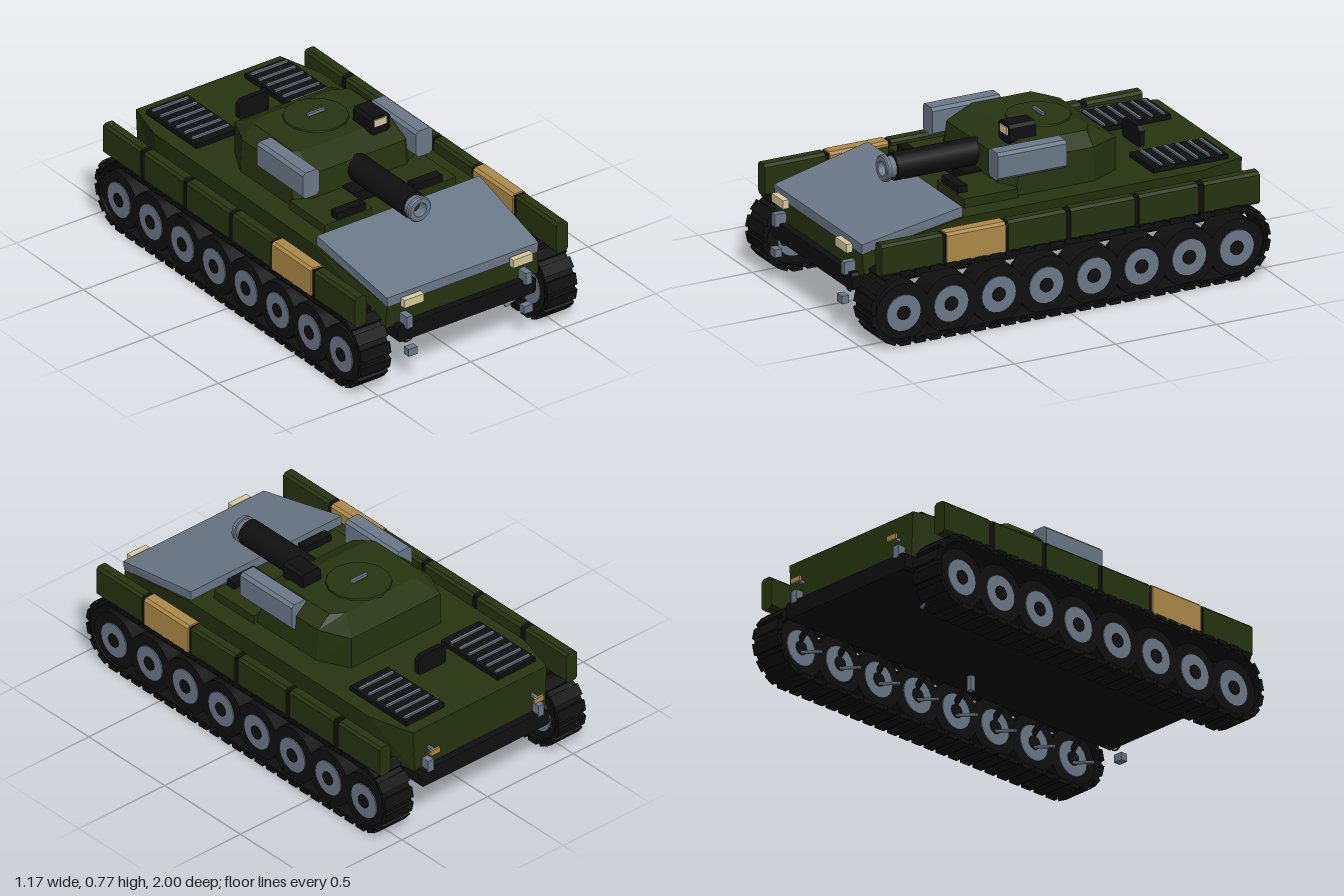
import * as THREE from 'three';

const mat = (name, color) => {
  const m = new THREE.MeshStandardMaterial({ color });
  m.name = name;
  return m;
};

export function createModel() {
  const green = mat('olive green', 0x26330f);
  const steel = mat('blue grey steel', 0x6b7888);
  const black = mat('rubber black', 0x0f0f0f);
  const cream = mat('lamp cream', 0xd6ca9a);
  const tan = mat('ochre tan', 0xad8a48);
  const tank = new THREE.Group();
  tank.name = 'tank';

  const add = (name, geo, material, x = 0, y = 0, z = 0, parent = tank) => {
    const m = new THREE.Mesh(geo, material);
    m.name = name;
    m.position.set(x, y, z);
    parent.add(m);
    return m;
  };
  // box given by its limits on each axis
  const box = (name, material, [x0, x1], [y0, y1], [z0, z1], parent = tank) =>
    add(name, new THREE.BoxGeometry(x1 - x0, y1 - y0, z1 - z0), material,
      (x0 + x1) / 2, (y0 + y1) / 2, (z0 + z1) / 2, parent);
  const pair = (name, material, [x0, x1], y, z) => {
    box(name + 'Left', material, [x0, x1], y, z);
    box(name + 'Right', material, [-x1, -x0], y, z);
  };
  // box with chamfered long edges along z
  const chamfered = (name, material, [x0, x1], [y0, y1], [z0, z1], c) => {
    const s = new THREE.Shape([
      [x0 + c, y0], [x1 - c, y0], [x1, y0 + c], [x1, y1 - c],
      [x1 - c, y1], [x0 + c, y1], [x0, y1 - c], [x0, y0 + c],
    ].map(([x, y]) => new THREE.Vector2(x, y)));
    const g = new THREE.ExtrudeGeometry(s, { depth: z1 - z0, bevelEnabled: false });
    return add(name, g, material, 0, 0, z0);
  };
  // capped loft; rings run counter-clockwise seen from the advance direction
  const loft = (rings) => {
    const p = [], n = rings[0].length, last = rings[rings.length - 1];
    const tri = (a, b, c) => p.push(...a, ...b, ...c);
    for (let i = 0; i < rings.length - 1; i++) {
      for (let j = 0; j < n; j++) {
        const k = (j + 1) % n;
        tri(rings[i][j], rings[i][k], rings[i + 1][k]);
        tri(rings[i][j], rings[i + 1][k], rings[i + 1][j]);
      }
    }
    for (let j = 1; j < n - 1; j++) {
      tri(rings[0][0], rings[0][j + 1], rings[0][j]);
      tri(last[0], last[j], last[j + 1]);
    }
    const g = new THREE.BufferGeometry();
    g.setAttribute('position', new THREE.Float32BufferAttribute(p, 3));
    g.computeVertexNormals();
    return g;
  };
  const section = ([z, b, t, y0, y1]) => [[b, y0, z], [t, y1, z], [-t, y1, z], [-b, y0, z]];
  // round bar between two points
  const rod = (name, material, a, b, r, parent) => {
    const A = new THREE.Vector3(...a), d = new THREE.Vector3(...b).sub(A);
    const m = add(name, new THREE.CylinderGeometry(r, r, d.length(), 8), material, 0, 0, 0, parent);
    m.position.copy(A).addScaledVector(d, 0.5);
    m.quaternion.setFromUnitVectors(new THREE.Vector3(0, 1, 0), d.normalize());
  };

  // hull
  chamfered('lowerHull', black, [-0.375, 0.375], [0.21, 0.29], [-0.985, 0.97], 0.012);
  add('upperHull', loft([
    [-0.95, 0.38, 0.39, 0.28, 0.49], [-0.73, 0.42, 0.45, 0.28, 0.49],
    [0.46, 0.42, 0.45, 0.28, 0.49], [0.935, 0.415, 0.405, 0.28, 0.39],
  ].map(section)), green);
  add('glacisPlate', loft([
    [0.46, 0.44, 0.44, 0.49, 0.535], [0.94, 0.405, 0.41, 0.388, 0.435],
  ].map(section)), steel);

  // turret: outlines from front to rear, mirrored
  const ring = (y, half) => [
    ...half.map(([x, z]) => [x, y, z]),
    ...half.slice().reverse().map(([x, z]) => [-x, y, z]),
  ];
  add('turret', loft([
    ring(0.485, [[0.25, 0.19], [0.335, 0.15], [0.335, -0.25], [0.26, -0.395]]),
    ring(0.645, [[0.25, 0.17], [0.325, 0.1], [0.325, -0.25], [0.26, -0.395]]),
    ring(0.702, [[0.24, 0.06], [0.26, 0.04], [0.26, -0.25], [0.2, -0.29]]),
  ]), green);
  add('cupola', new THREE.CylinderGeometry(0.145, 0.15, 0.012, 14), green, 0, 0.702, -0.15);
  box('cupolaHandle', steel, [-0.046, 0.046], [0.714, 0.729], [-0.156, -0.144]);
  for (const s of [1, -1]) {
    const x = s * 0.306;
    chamfered('turretSideBox', steel, [x - 0.045, x + 0.045], [0.58, 0.71], [-0.105, 0.235], 0.014);
  }
  chamfered('sight', black, [0.11, 0.215], [0.68, 0.77], [-0.025, 0.105], 0.014);
  box('sightWindow', cream, [0.128, 0.196], [0.72, 0.755], [0.103, 0.111]);

  // front hatches and periscopes
  pair('frontHatch', green, [0.1, 0.355], [0.485, 0.532], [0.14, 0.405]);
  pair('periscope', black, [0.13, 0.285], [0.53, 0.565], [0.352, 0.398]);

  // gun
  box('mantlet', black, [-0.1, 0.1], [0.49, 0.54], [0.17, 0.27]);
  const barrel = add('barrel', new THREE.CylinderGeometry(0.063, 0.063, 0.46, 20), black, 0, 0.592, 0.345);
  barrel.rotation.x = Math.PI / 2;
  const muzzle = add('muzzle', new THREE.LatheGeometry(
    [[0.03, 0], [0.05, 0], [0.05, 0.035], [0.061, 0.035], [0.061, 0.05], [0.055, 0.056], [0.034, 0.056], [0.03, 0]]
      .map(([r, y]) => new THREE.Vector2(r, y)), 20).toNonIndexed(), steel, 0, 0.592, 0.57);
  muzzle.geometry.computeVertexNormals();
  muzzle.rotation.x = Math.PI / 2;
  add('boreDisc', new THREE.CircleGeometry(0.034, 20), green, 0, 0.592, 0.58);

  // engine deck
  pair('grille', black, [0.155, 0.378], [0.485, 0.512], [-0.89, -0.518]);
  for (let i = 0; i < 6; i++) {
    const z = -0.862 + i * 0.059;
    pair('grilleBar', steel, [0.168, 0.365], [0.51, 0.521], [z - 0.006, z + 0.006]);
  }
  chamfered('deckBracket', black, [-0.08, 0.08], [0.48, 0.585], [-0.634, -0.608], 0.02);

  // lamps, tow brackets and fittings
  pair('headlight', cream, [0.241, 0.348], [0.383, 0.423], [0.955, 0.985]);
  pair('headlightMount', steel, [0.28, 0.31], [0.39, 0.41], [0.93, 0.956]);
  pair('tailLamp', tan, [0.275, 0.33], [0.365, 0.39], [-1, -0.988]);
  pair('tailLampMount', steel, [0.295, 0.31], [0.37, 0.385], [-0.99, -0.945]);
  pair('frontTowBracket', steel, [0.305, 0.338], [0.277, 0.336], [0.93, 0.99]);
  pair('rearTowBracket', steel, [0.305, 0.338], [0.277, 0.336], [-0.99, -0.94]);
  pair('towBlock', steel, [0.288, 0.336], [0.141, 0.178], [0.965, 1]);
  pair('bellyStud', steel, [0.222, 0.247], [0.14, 0.215], [-0.012, 0.012]);
  for (const s of [1, -1]) {
    add('towRing', new THREE.TorusGeometry(0.03, 0.004, 6, 20), black, s * 0.307, 0.217, 0.95);
  }

  // track outline in the z-y plane
  const stadium = (r) => {
    const s = new THREE.Shape();
    s.absarc(0.815, 0.175, r, -Math.PI / 2, Math.PI / 2);
    s.absarc(-0.815, 0.175, r, Math.PI / 2, Math.PI * 1.5);
    s.closePath();
    return s;
  };
  const band = stadium(0.165);
  band.holes.push(stadium(0.146));
  const bandGeo = new THREE.ExtrudeGeometry(band, { depth: 0.15, bevelEnabled: false, curveSegments: 16 });
  bandGeo.translate(0, 0, -0.075).rotateY(-Math.PI / 2);
  const path = stadium(0.165), pads = 58;
  const padGeo = new THREE.BoxGeometry(0.16, 0.02, 0.052);
  const disc = (r, w) => new THREE.CylinderGeometry(r, r, w, 20).rotateZ(Math.PI / 2);
  const tyreGeo = disc(0.135, 0.12), rimGeo = disc(0.084, 0.13), hubGeo = disc(0.033, 0.138);
  const skirts = [[0.63, 0.93], [0.32, 0.61], [0.02, 0.305], [-0.32, -0.005], [-0.635, -0.345], [-0.94, -0.665]];

  for (const s of [1, -1]) {
    const side = new THREE.Group();
    side.name = s > 0 ? 'leftRunningGear' : 'rightRunningGear';
    tank.add(side);
    add('trackBand', bandGeo, black, s * 0.503, 0, 0, side);
    for (let i = 0; i < pads; i++) {
      const p = path.getPoint(i / pads), t = path.getTangent(i / pads);
      add('trackPad', padGeo, black, s * 0.503, p.y, p.x, side).rotation.x = -Math.atan2(t.y, t.x);
    }
    // road wheels with their swing arms and dampers
    for (let i = 0; i < 8; i++) {
      const z = 0.82 - i * 0.2355;
      add('tyre', tyreGeo, black, s * 0.507, 0.15, z, side);
      add('wheelDisc', rimGeo, steel, s * 0.507, 0.15, z, side);
      add('wheelHub', hubGeo, black, s * 0.507, 0.15, z, side);
      rod('swingArm', black, [s * 0.35, 0.275, z], [s * 0.45, 0.19, z], 0.014, side);
      rod('damper', steel, [s * 0.315, 0.09, z], [s * 0.45, 0.131, z], 0.008, side);
    }
    // side skirts, one panel painted, with dark joints between them
    skirts.forEach(([z0, z1], i) => {
      const painted = i === 1, x = s * 0.545, h = painted ? 0.036 : 0.031;
      chamfered(painted ? 'paintedSkirt' : 'skirt', painted ? tan : green,
        [x - h, x + h], [0.335, 0.486], [z0, z1], 0.012);
      if (i) {
        box('skirtJoint', black, [x - 0.026, x + 0.026], [0.335, 0.478], [z1 - 0.005, skirts[i - 1][0] + 0.005], side);
      }
    });
  }
  return tank;
}
